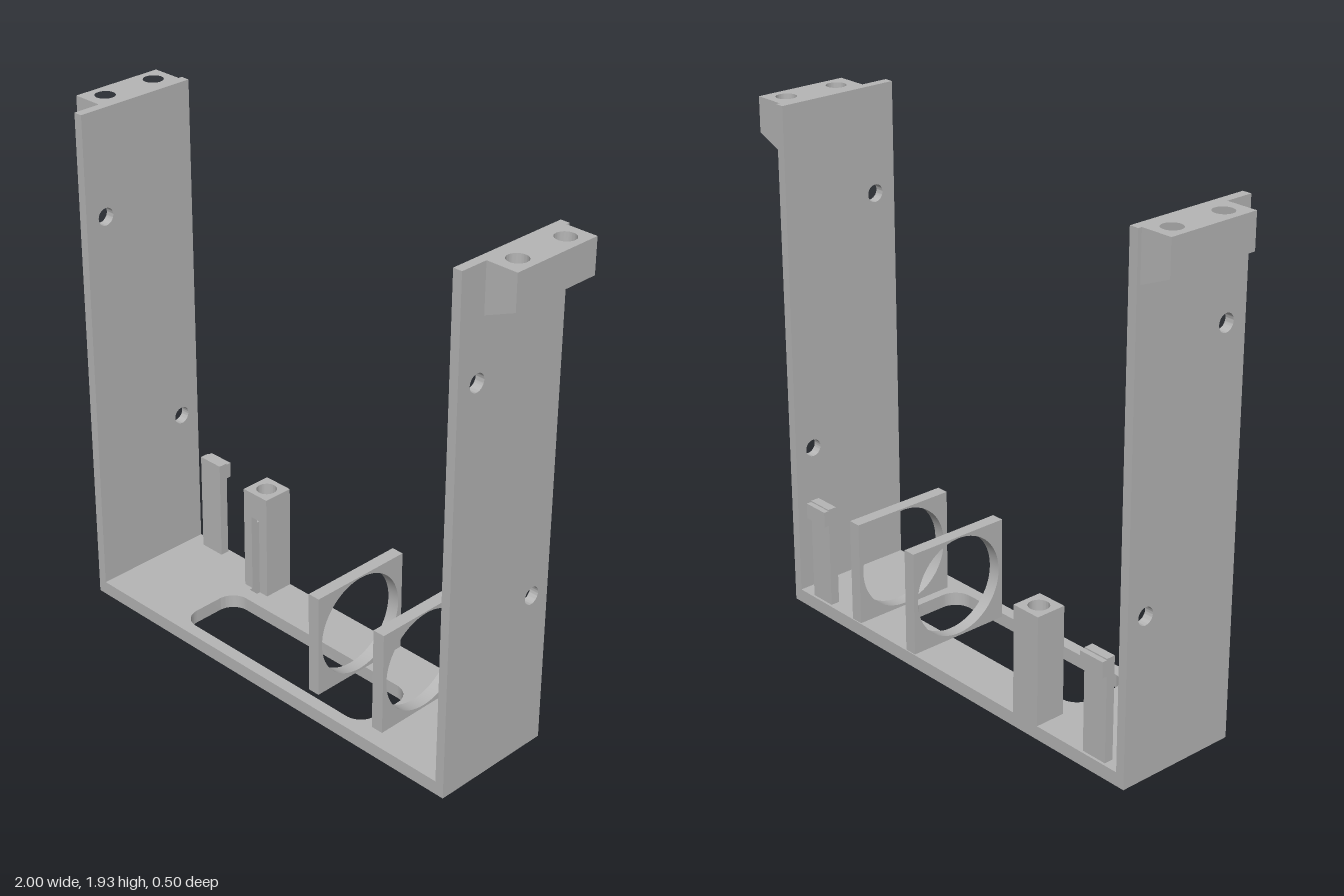
import * as THREE from 'three';
import { toCreasedNormals } from 'three/addons/utils/BufferGeometryUtils.js';

const grey = new THREE.MeshStandardMaterial({ color: 0xb6b6b6 });
grey.name = 'grey plastic';

const poly = (pts) => new THREE.Shape(pts.map(([a, b]) => new THREE.Vector2(a, b)));
const rect = (a0, b0, a1, b1) => poly([[a0, b0], [a1, b0], [a1, b1], [a0, b1]]);
const circle = (a, b, r) => new THREE.Path().absarc(a, b, r, 0, Math.PI * 2, true);

function extrude(shape, depth, holes = []) {
  shape.holes.push(...holes);
  return new THREE.ExtrudeGeometry(shape, { depth, bevelEnabled: false, curveSegments: 32 });
}
// Plan shapes use (x, -z) and rise along y
const rise = (shape, y0, y1, holes) =>
  extrude(shape, y1 - y0, holes).rotateX(-Math.PI / 2).translate(0, y0, 0);
// Side shapes use (-z, y) and run along x
const across = (shape, x0, x1, holes) =>
  extrude(shape, x1 - x0, holes).rotateY(Math.PI / 2).translate(x0, 0, 0);

function roundedRect(a0, b0, a1, b1, r) {
  const p = new THREE.Path();
  p.absarc(a1 - r, b1 - r, r, 0, Math.PI / 2);
  p.absarc(a0 + r, b1 - r, r, Math.PI / 2, Math.PI);
  p.absarc(a0 + r, b0 + r, r, Math.PI, Math.PI * 1.5);
  p.absarc(a1 - r, b0 + r, r, Math.PI * 1.5, Math.PI * 2);
  p.closePath();
  return p;
}

export function createModel() {
  const model = new THREE.Group();
  model.name = 'bracketFrame';
  const add = (name, geometry, parent = model) => {
    const mesh = new THREE.Mesh(toCreasedNormals(geometry, 0.5), grey);
    mesh.name = name;
    parent.add(mesh);
  };
  const box = (x0, x1, y0, y1, z0, z1) =>
    new THREE.BoxGeometry(x1 - x0, y1 - y0, z1 - z0)
      .translate((x0 + x1) / 2, (y0 + y1) / 2, (z0 + z1) / 2);

  const back = -0.24, front = 0.247, floor = 0.052, top = 1.93;

  // Base plate with long opening and a small slot under the screw post
  add('basePlate', rise(rect(-0.88, -front, 0.88, -back), 0, floor, [
    roundedRect(-0.46, -0.2, 0.455, 0.055, 0.07),
    rect(-0.425, 0.105, -0.385, 0.205),
  ]));

  for (const s of [1, -1]) {
    const side = s > 0 ? 'left' : 'right';

    // Upright wall with two through holes
    const x0 = s > 0 ? 0.845 : -0.88;
    add(side + 'Wall', across(rect(-front, floor, -back, top), x0, x0 + 0.035,
      [circle(-0.16, 1.53, 0.033), circle(0.16, 0.615, 0.033)]));

    // Mounting ear: drilled block above a sloped underside
    const ear = new THREE.Group();
    ear.name = side + 'Ear';
    const drill = 1.83;
    add('drilledBlock', rise(rect(s * 0.88, -0.14, s, 0.225), drill, top,
      [circle(s * 0.935, 0.155, 0.037), circle(s * 0.935, -0.065, 0.037)]), ear);
    add('slopedUnderside', extrude(poly(
      [[s * 0.88, 1.75], [s, 1.8], [s, drill], [s * 0.88, drill]]), 0.365)
      .translate(0, 0, -0.225), ear);
    model.add(ear);

    // Snap clip with a small catch at the back
    const clip = new THREE.Group();
    clip.name = side + 'Clip';
    const c = s > 0 ? 0.725 : -0.73;
    add('clipStem', box(c - 0.052, c + 0.052, floor, 0.445, -0.23, -0.195), clip);
    add('clipCatch', box(c - 0.052, c + 0.052, 0.38, 0.44, -0.25, -0.23), clip);
    model.add(clip);
  }

  // Screw post: slotted front, with a round bore from the top
  const post = new THREE.Group();
  post.name = 'screwPost';
  const px = -0.405, pz = 0.18, r = 0.038, w = 0.02;
  const outer = [[px + w, 0.12], [px + 0.06, 0.12], [px + 0.06, 0.24],
    [px - 0.06, 0.24], [px - 0.06, 0.12], [px - w, 0.12]];
  add('slottedPart', rise(poly([...outer, [px - w, 0.205], [px + w, 0.205]]), floor, 0.33), post);
  const keyhole = poly(outer);
  const a = Math.asin(w / r);
  keyhole.absarc(px, pz, r, -Math.PI / 2 - a, -Math.PI / 2 + a, true);
  add('keyholePart', rise(keyhole, 0.33, 0.365), post);
  add('boredPart', rise(rect(px - 0.06, 0.12, px + 0.06, 0.24), 0.365, 0.47,
    [circle(px, pz, r)]), post);
  model.add(post);

  // Pair of upright ring holders
  for (const x of [0.182, 0.49]) {
    add('ringHolder', across(rect(-0.182, floor, 0.236, 0.452), x, x + 0.048,
      [circle(0.027, 0.254, 0.192)]));
  }
  return model;
}
